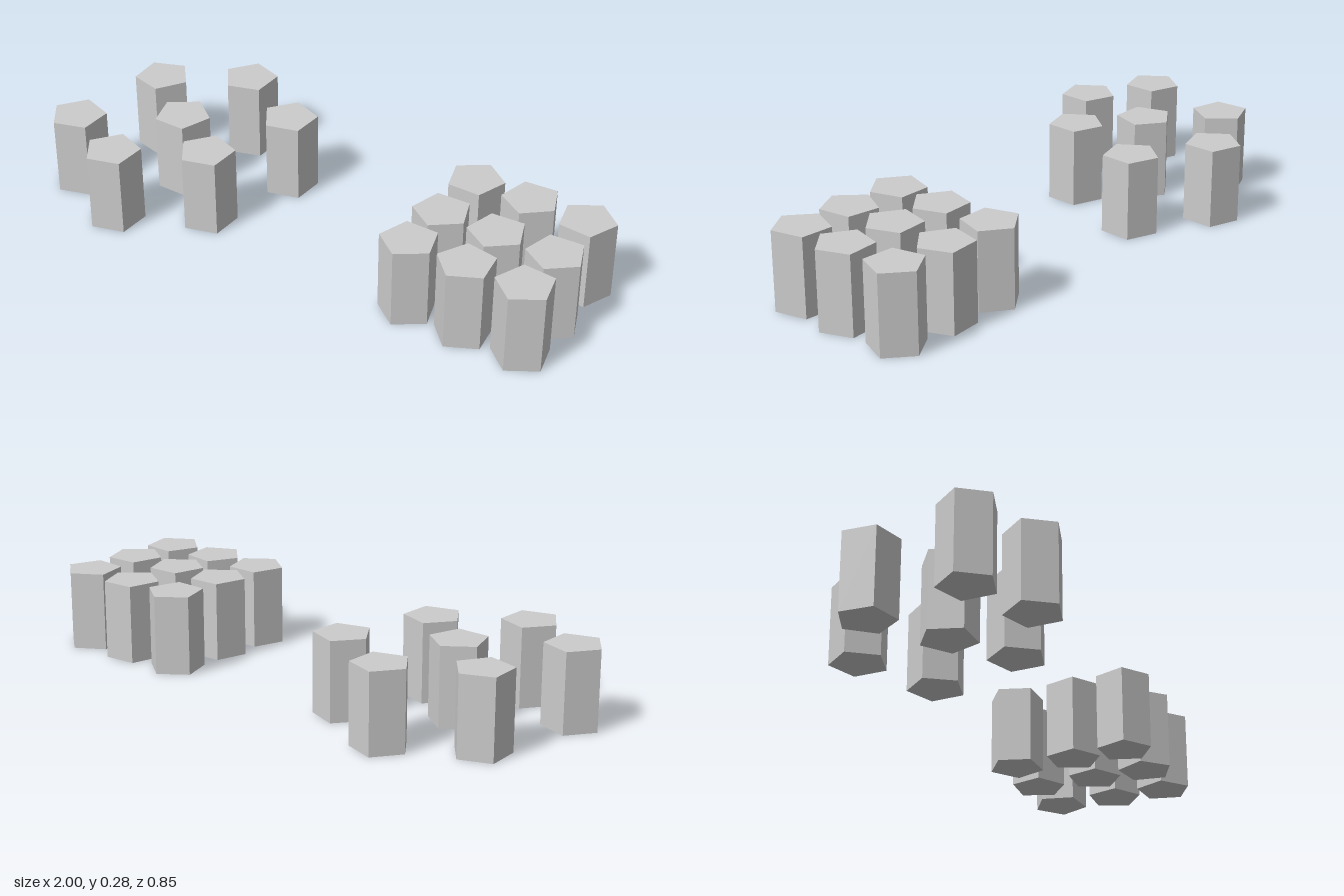
import * as THREE from 'three';

const HEIGHT = 0.283, RADIUS = 0.1005;

// Each column: centre x, centre z, turn in degrees (direction of one corner from +z)
const scattered = [
  [-0.545, -0.332, -90], [-0.816, -0.163, 22], [-0.268, -0.187, -92], [-0.591, 0.01, 180],
  [-0.378, 0.154, -91], [-0.899, 0.217, -90], [-0.653, 0.329, -91],
];
const grid = [
  [0.476, -0.217, 180], [0.688, -0.218, 5], [0.898, -0.214, 176],
  [0.479, 0.007, 3], [0.687, 0.008, 4], [0.902, 0.006, 4],
  [0.475, 0.205, 0], [0.689, 0.208, -9], [0.9, 0.204, -4],
];

export function createModel() {
  const model = new THREE.Group();
  model.name = 'pentagonalColumns';
  const material = new THREE.MeshStandardMaterial({ color: 0xcccccc, flatShading: true });
  const prism = new THREE.CylinderGeometry(RADIUS, RADIUS, HEIGHT, 5);

  const addCluster = (name, columns) => {
    const cluster = new THREE.Group();
    cluster.name = name;
    columns.forEach(([x, z, turn], i) => {
      const column = new THREE.Mesh(prism, material);
      column.name = `${name}Column${i + 1}`;
      column.position.set(x, HEIGHT / 2, z);
      column.rotation.y = THREE.MathUtils.degToRad(turn);
      cluster.add(column);
    });
    model.add(cluster);
  };

  // Loose cluster on the model's right, tight three-by-three cluster on its left
  addCluster('scattered', scattered);
  addCluster('grid', grid);
  return model;
}
